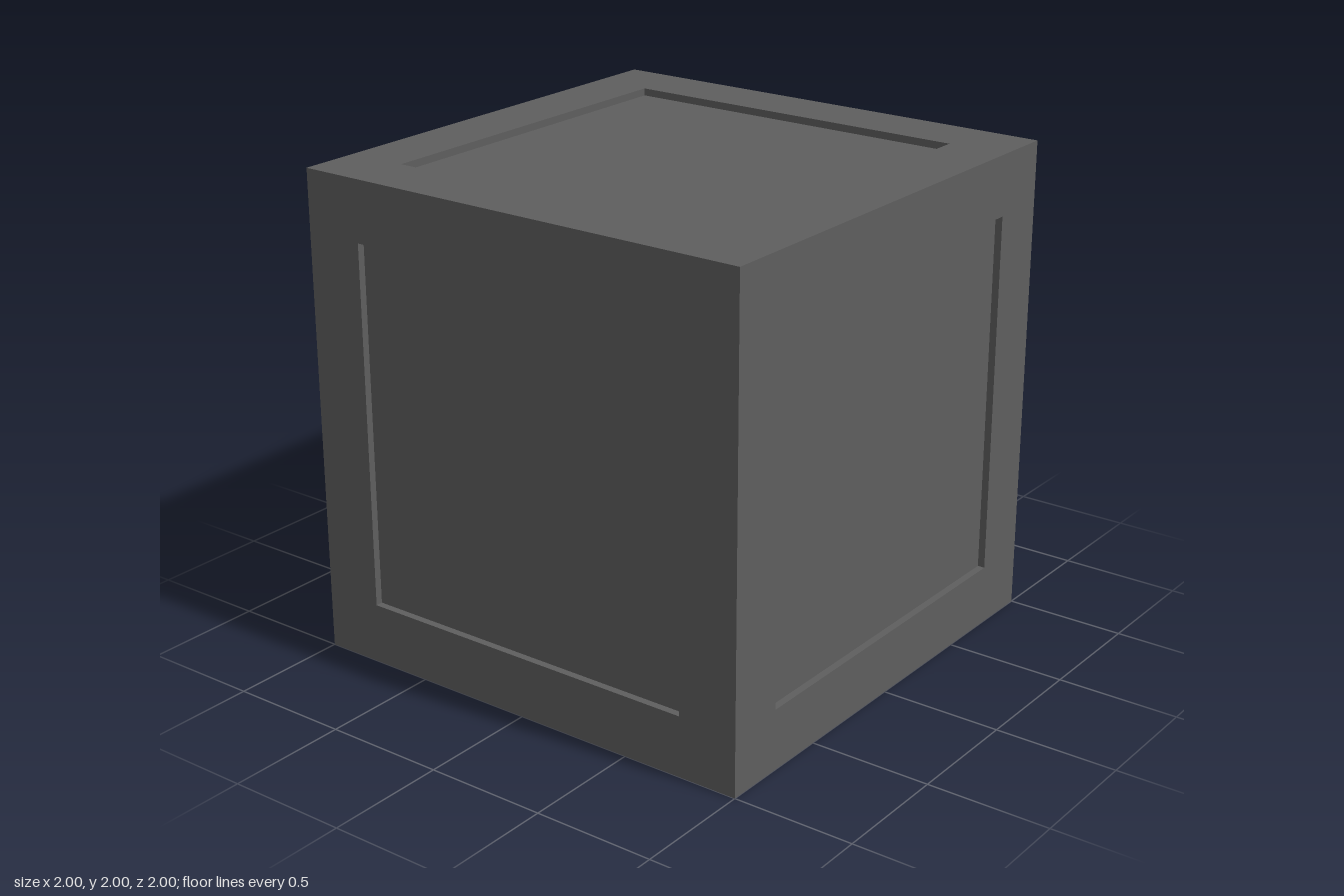
import * as THREE from 'three';

const HALF = 1;        // half the cube's edge
const INSET = 0.75;    // half the panel's edge
const DEPTH = 0.03;    // how far each panel is sunk

export function createModel() {
  const model = new THREE.Group();
  model.name = 'panelledCube';
  const material = new THREE.MeshStandardMaterial({ color: 0x5e5e5e, flatShading: true });

  // Square border with its inner walls: a four-sided lathe, facing +y
  const profile = [[HALF, HALF], [INSET, HALF], [INSET, HALF - DEPTH]]
    .map(([r, y]) => new THREE.Vector2(r * Math.SQRT2, y));
  const frameGeometry = new THREE.LatheGeometry(profile, 4, Math.PI / 4);

  // Sunken panel, facing +y
  const panelGeometry = new THREE.PlaneGeometry(2 * INSET, 2 * INSET)
    .rotateX(-Math.PI / 2)
    .translate(0, HALF - DEPTH, 0);

  // The same face turned to all six sides
  const q = Math.PI / 2;
  const sides = {
    top: [0, 0], front: [q, 0], bottom: [2 * q, 0], back: [-q, 0],
    left: [0, -q], right: [0, q],
  };
  for (const [side, [rx, rz]] of Object.entries(sides)) {
    const face = new THREE.Group();
    face.name = `${side}Face`;
    const frame = new THREE.Mesh(frameGeometry, material);
    frame.name = `${side}Frame`;
    const panel = new THREE.Mesh(panelGeometry, material);
    panel.name = `${side}Panel`;
    face.add(frame, panel);
    face.rotation.set(rx, 0, rz);
    face.position.y = HALF;
    model.add(face);
  }
  return model;
}
